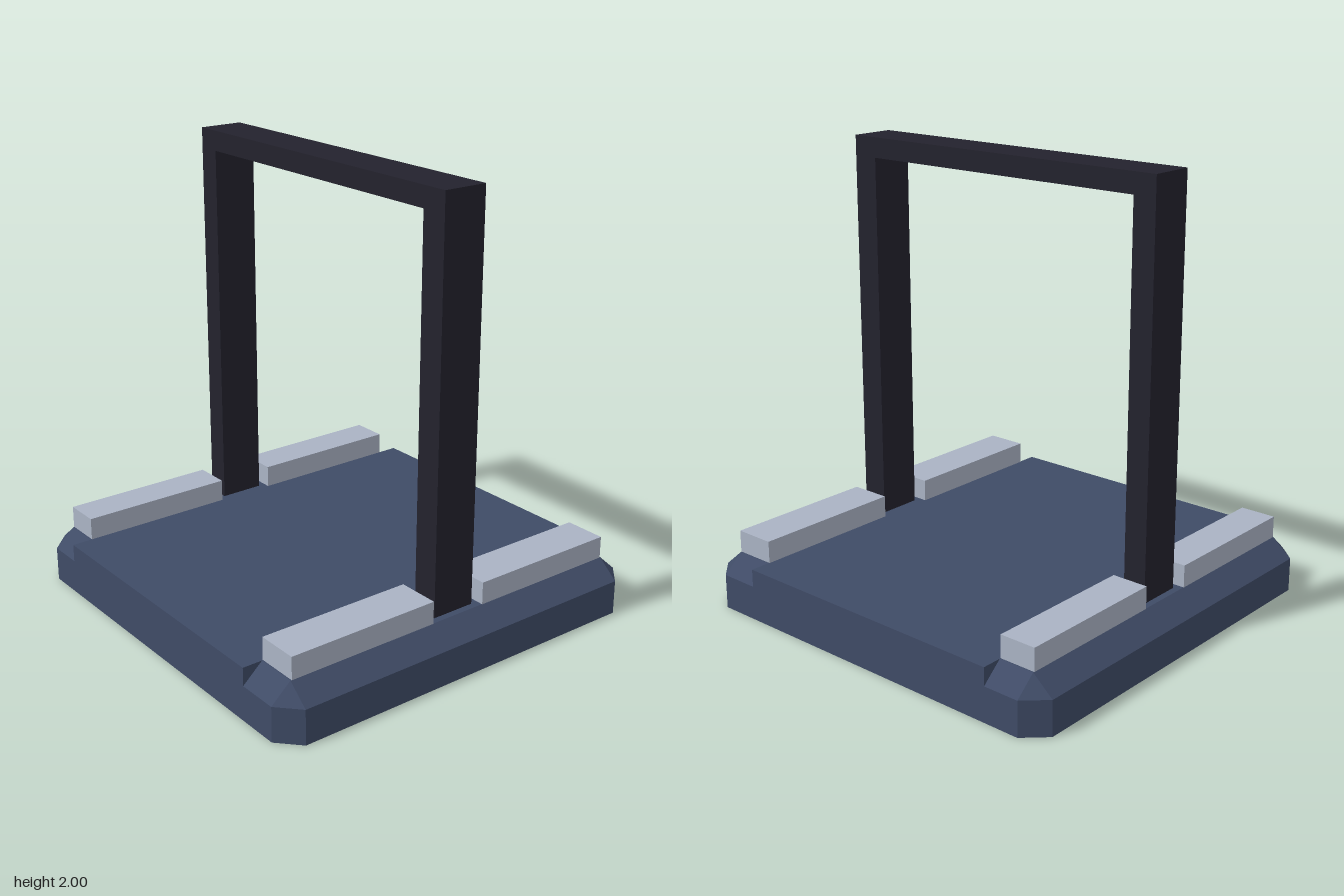
import * as THREE from 'three';
import { ConvexGeometry } from 'three/addons/geometries/ConvexGeometry.js';

const HALF_X = 0.935, HALF_Z = 0.94; // outer size of the base
const IN = 0.845; // where the corner cuts and bevels begin
const LEDGE = 0.155, DECK = 0.235; // bevel start and deck height

export function createModel() {
  const model = new THREE.Group();
  model.name = 'platformWithFrame';

  const material = (name, color) => {
    const m = new THREE.MeshStandardMaterial({ color, flatShading: true });
    m.name = name;
    return m;
  };
  const blue = material('slateBlue', 0x3f4b66);
  const dark = material('darkFrame', 0x23222d);
  const grey = material('lightGrey', 0xaab3c4);

  const add = (name, geometry, mat) => {
    const mesh = new THREE.Mesh(geometry, mat);
    mesh.name = name;
    model.add(mesh);
  };
  // Box given by its limits on each axis
  const box = (name, mat, [x0, x1], [y0, y1], [z0, z1]) => {
    const g = new THREE.BoxGeometry(x1 - x0, y1 - y0, z1 - z0);
    g.translate((x0 + x1) / 2, (y0 + y1) / 2, (z0 + z1) / 2);
    add(name, g, mat);
  };

  // Plinth with cut corners
  const outline = [
    [IN, HALF_Z], [HALF_X, IN], [HALF_X, -IN], [IN, -HALF_Z],
    [-IN, -HALF_Z], [-HALF_X, -IN], [-HALF_X, IN], [-IN, HALF_Z],
  ].map(([x, z]) => new THREE.Vector2(x, -z));
  const plinth = new THREE.ExtrudeGeometry(new THREE.Shape(outline), { depth: LEDGE, bevelEnabled: false });
  plinth.rotateX(-Math.PI / 2);
  add('plinth', plinth, blue);

  // Full-width deck between the bevelled ends
  box('deck', blue, [-HALF_X, HALF_X], [LEDGE, DECK], [-0.68, 0.66]);

  // Ends: bevelled on the outer edge, the sides and the corners
  for (const [name, s, inner] of [['front', 1, 0.66], ['back', -1, 0.68]]) {
    const points = [];
    for (const x of [-1, 1]) {
      for (const z of [inner, IN]) {
        points.push(new THREE.Vector3(x * HALF_X, LEDGE, s * z));
        points.push(new THREE.Vector3(x * IN, DECK, s * z));
      }
      points.push(new THREE.Vector3(x * IN, LEDGE, s * HALF_Z));
    }
    add(name + 'BevelledEnd', new ConvexGeometry(points), blue);
  }

  // Raised bars on either side of each post
  for (const [end, z] of [['front', [0.657, 0.847]], ['back', [-0.847, -0.68]]]) {
    box(end + 'LeftBar', grey, [0.135, 0.84], [DECK, 0.335], z);
    box(end + 'RightBar', grey, [-0.84, -0.133], [DECK, 0.335], z);
  }

  // Tall frame
  const width = [-0.1, 0.103];
  box('frontPost', dark, width, [DECK, 1.91], [0.695, 0.815]);
  box('backPost', dark, width, [DECK, 1.91], [-0.815, -0.71]);
  box('topBeam', dark, width, [1.91, 2], [-0.815, 0.815]);

  return model;
}
